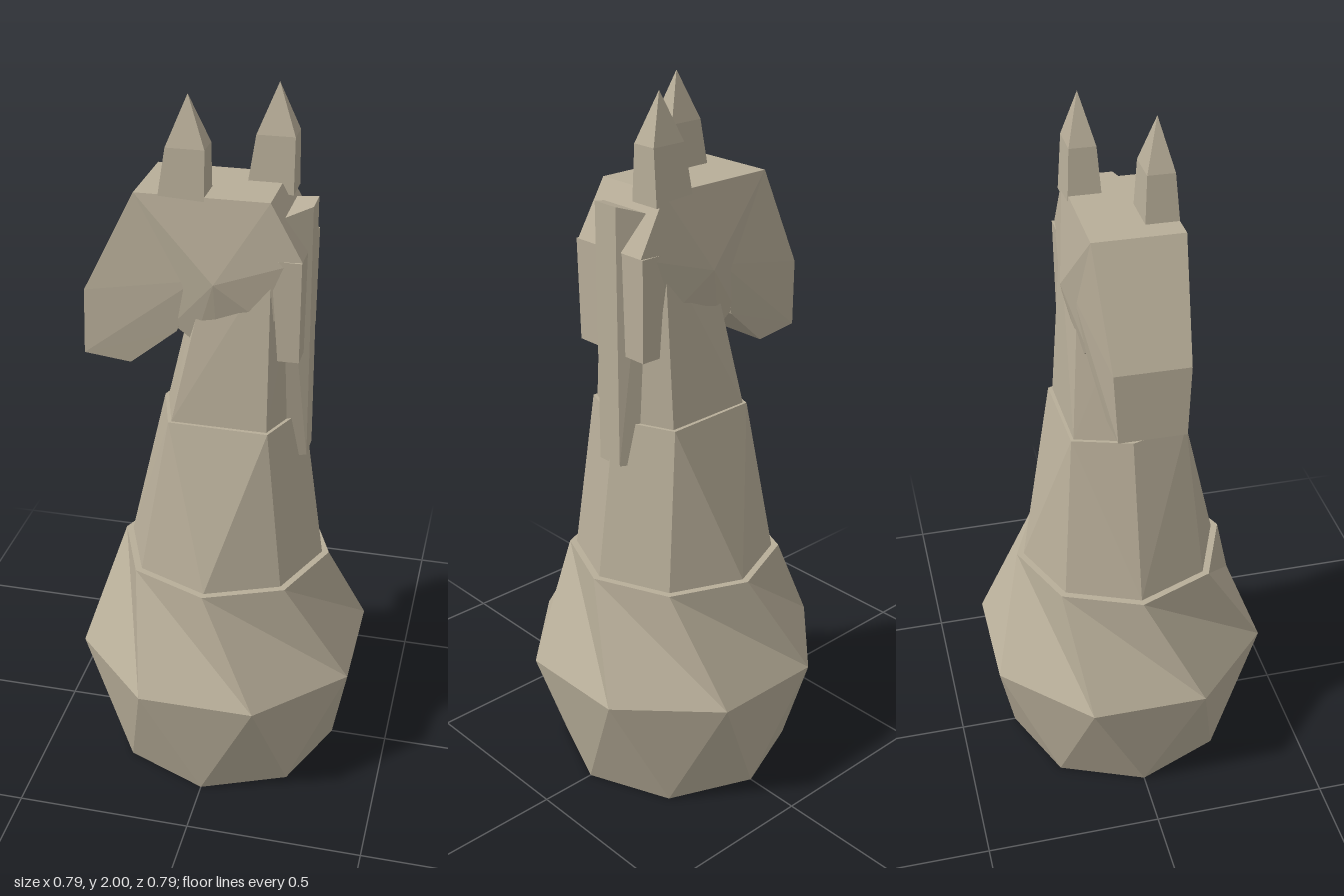
import * as THREE from 'three';
import { ConvexGeometry } from 'three/addons/geometries/ConvexGeometry.js';

const V = (x, y, z) => new THREE.Vector3(x, y, z);

// Octagon of radius r at height y, first corner at angle `start` (degrees, from +x towards +z)
function octagon(r, y, start = 0) {
  return Array.from({ length: 8 }, (_, i) => {
    const a = THREE.MathUtils.degToRad(start + i * 45);
    return V(r * Math.cos(a), y, r * Math.sin(a));
  });
}

// Repeats points on both sides of the z = 0 plane
const mirrored = (points) =>
  points.flatMap(([x, y, z]) => (z === 0 ? [V(x, y, 0)] : [V(x, y, z), V(x, y, -z)]));

// Rectangular ring of corners
const rectangle = (x0, x1, y, z0, z1) =>
  [V(x0, y, z0), V(x1, y, z0), V(x1, y, z1), V(x0, y, z1)];

// Twisted facets between two octagons, closed with a flat top
function twistedShoulder(lower, upper, top) {
  const points = [];
  for (let i = 0; i < 8; i++) {
    const l0 = lower[i], l1 = lower[(i + 1) % 8];
    const u1 = upper[(i + 1) % 8], u2 = upper[(i + 2) % 8];
    points.push(l0, u2, l1, l0, u1, u2, V(0, top, 0), u2, u1);
  }
  const geometry = new THREE.BufferGeometry().setFromPoints(points);
  geometry.computeVertexNormals();
  return geometry;
}

export function createModel() {
  const model = new THREE.Group();
  model.name = 'chessKnight';
  const stone = new THREE.MeshStandardMaterial({ color: 0xb8ae99 });
  stone.name = 'warm stone';

  const add = (name, geometry) => {
    const mesh = new THREE.Mesh(geometry, stone);
    mesh.name = name;
    model.add(mesh);
  };
  const hull = (name, points) => add(name, new ConvexGeometry(points));

  // Faceted foot and twisted shoulder
  hull('base', [...octagon(0.335, 0), ...octagon(0.343, 0.06), ...octagon(0.428, 0.35, 22.5)]);
  add('shoulder', twistedShoulder(octagon(0.428, 0.35, 22.5), octagon(0.303, 0.66), 0.66));

  // Neck in two stages with a small ledge between them
  hull('lowerNeck', [
    ...octagon(0.283, 0.66),
    ...mirrored([[-0.175, 1.12, 0], [-0.125, 1.12, 0.16], [0.15, 1.12, 0.168], [0.22, 1.12, 0]]),
  ]);
  hull('upperNeck', mirrored([
    [-0.165, 1.12, 0], [-0.118, 1.12, 0.152], [0.145, 1.12, 0.157], [0.21, 1.12, 0],
    [-0.08, 1.48, 0], [-0.04, 1.48, 0.12], [0.145, 1.6, 0.125], [0.2, 1.6, 0],
  ]));

  // Head: skull with bulging cheeks, and a tapering muzzle
  hull('skull', mirrored([
    [-0.215, 1.75, 0.12], [0.14, 1.75, 0.118], [0.225, 1.6, 0.123], [0.145, 1.41, 0.12],
    [0, 1.34, 0.11], [-0.06, 1.345, 0.11], [-0.12, 1.39, 0.11], [0, 1.53, 0.155],
  ]));
  hull('muzzle', mirrored([
    [-0.215, 1.75, 0.12], [-0.365, 1.46, 0.1], [-0.375, 1.27, 0.09],
    [-0.245, 1.255, 0.09], [-0.11, 1.37, 0.11], [-0.05, 1.53, 0.135],
  ]));

  // Lobes hanging behind the cheeks
  for (const side of [-1, 1]) {
    hull(side > 0 ? 'frontCheekLobe' : 'backCheekLobe', [
      ...rectangle(0.165, 0.222, 1.32, side * 0.055, side * 0.125),
      ...rectangle(0.145, 0.225, 1.6, side * 0.05, side * 0.13),
    ]);
  }

  // Mane ridge down the back of the neck
  hull('mane', mirrored([
    [0.17, 1.7, 0.08], [0.235, 1.72, 0.04], [0.235, 1.0, 0.04], [0.15, 1.0, 0.08],
  ]));

  // Pointed ears, set one ahead of the other
  const ear = (name, x, side) => hull(name, [
    ...rectangle(x - 0.075, x + 0.05, 1.72, side * 0.03, side * 0.122),
    ...rectangle(x - 0.052, x + 0.05, 1.87, side * 0.04, side * 0.112),
    V(x, 2, side * 0.077),
  ]);
  ear('frontEar', -0.08, 1);
  ear('backEar', 0.12, -1);

  return model;
}
